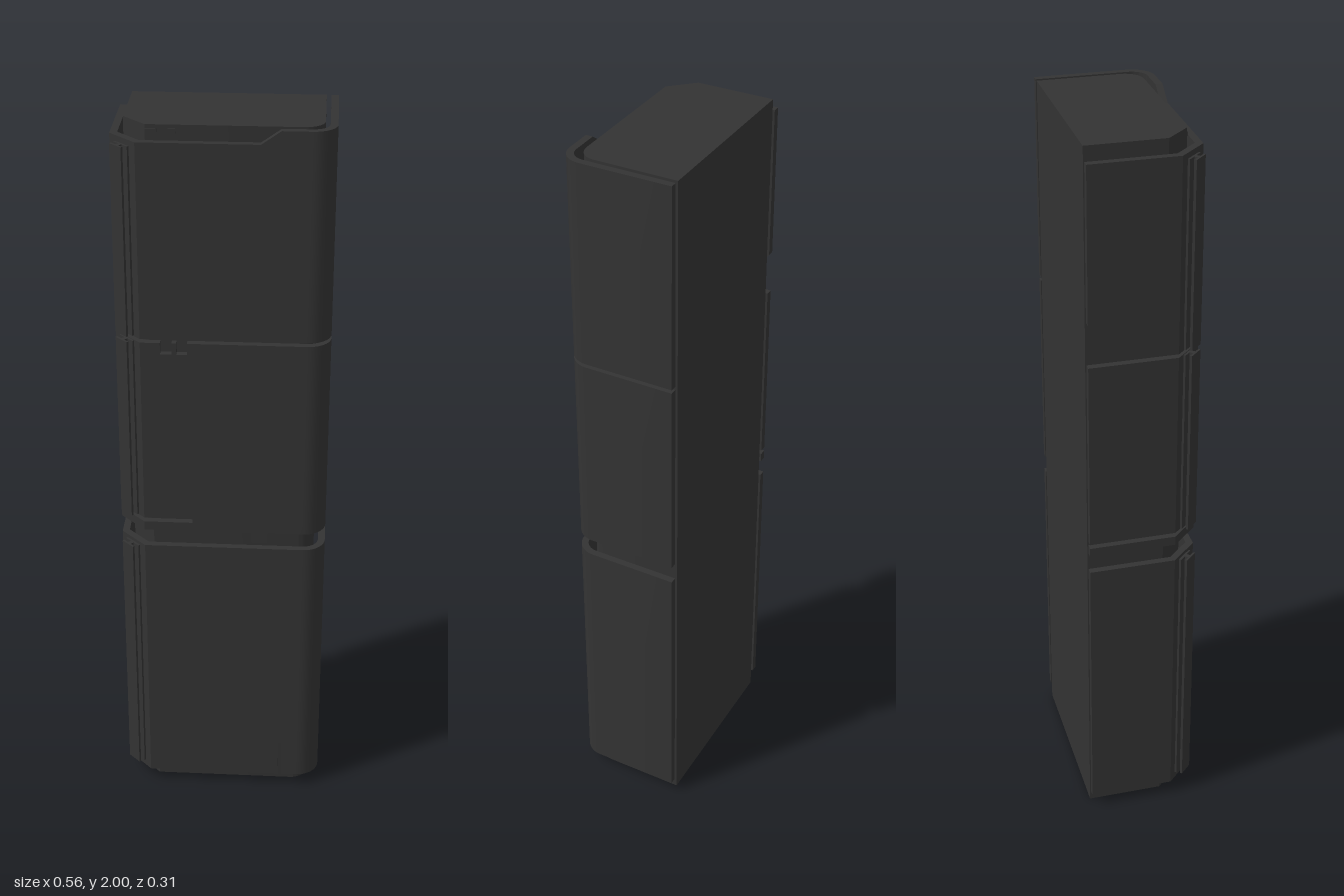
import * as THREE from 'three';
import { toCreasedNormals } from 'three/addons/utils/BufferGeometryUtils.js';

const dark = new THREE.MeshStandardMaterial({ color: 0x333333 });

function add(parent, name, geometry, x = 0, y = 0, z = 0) {
  const mesh = new THREE.Mesh(geometry, dark);
  mesh.name = name;
  mesh.position.set(x, y, z);
  parent.add(mesh);
  return mesh;
}

// Loft of rectangular sections; station = [outerX, outerZ, innerX, innerZ, bottom, top]
function loft(stations) {
  const pos = [];
  const rings = stations.map(([ox, oz, ix, iz, b, t]) =>
    [[ox, b, oz], [ox, t, oz], [ix, t, iz], [ix, b, iz]]);
  const quad = (a, b, c, d) => pos.push(...a, ...b, ...c, ...a, ...c, ...d);
  for (let i = 0; i < rings.length - 1; i++) {
    const p = rings[i], q = rings[i + 1];
    for (let j = 0; j < 4; j++) {
      const k = (j + 1) % 4;
      quad(p[j], q[j], q[k], p[k]);
    }
  }
  const s = rings[0], e = rings[rings.length - 1];
  quad(s[0], s[1], s[2], s[3]);
  quad(e[3], e[2], e[1], e[0]);
  const g = new THREE.BufferGeometry();
  g.setAttribute('position', new THREE.Float32BufferAttribute(pos, 3));
  return toCreasedNormals(g, 0.5);
}

// Plan path of the outer cladding: left side, chamfer, front, rounded corner, right side
const leftSide = (b, t, backBottom = b) => [
  [-0.282, -0.155, -0.263, -0.155, backBottom, t],
  [-0.282, -0.05, -0.263, -0.05, b, t],
  [-0.282, 0.08, -0.263, 0.072, b, t],
  [-0.212, 0.152, -0.204, 0.133, b, t],
];
const frontAt = ([x, b, t]) => [x, 0.152, x, 0.133, b, t];
function rightSide(b, t) {
  const out = [];
  for (let i = 0; i <= 10; i++) {
    const a = (i / 10) * Math.PI / 2, s = Math.sin(a), c = Math.cos(a);
    out.push([0.22 + 0.061 * s, 0.091 + 0.061 * c, 0.22 + 0.042 * s, 0.091 + 0.042 * c, b, t]);
  }
  out.push([0.281, -0.155, 0.262, -0.155, b, t]);
  return out;
}

// Vertical H-section rail on the chamfer
function rail(parent, bottom, top) {
  const g = new THREE.Group();
  g.name = 'cornerRail';
  const h = top - bottom;
  add(g, 'railBase', new THREE.BoxGeometry(0.054, h, 0.006), 0, 0, 0.003);
  add(g, 'railStem', new THREE.BoxGeometry(0.012, h, 0.014), 0, 0, 0.011);
  add(g, 'railFace', new THREE.BoxGeometry(0.045, h, 0.006), 0, 0, 0.019);
  g.position.set(-0.247, (bottom + top) / 2, 0.116);
  g.rotation.y = -Math.PI / 4;
  parent.add(g);
}

export function createModel() {
  const model = new THREE.Group();
  model.name = 'tower';

  // Core column with one chamfered and one rounded front corner
  const plan = new THREE.Shape();
  plan.moveTo(-0.25, 0.155);
  plan.lineTo(-0.25, -0.055);
  plan.lineTo(-0.19, -0.117);
  plan.lineTo(0.2, -0.117);
  plan.absarc(0.2, -0.067, 0.05, -Math.PI / 2, 0, false);
  plan.lineTo(0.25, 0.155);
  const core = new THREE.ExtrudeGeometry(plan, { depth: 2, bevelEnabled: false, curveSegments: 10 });
  core.rotateX(-Math.PI / 2);
  add(model, 'core', toCreasedNormals(core, 0.5));

  // Lower cladding with a slit rising from its bottom edge
  const lb = 0.04, lt = 0.82;
  add(model, 'lowerPanel', loft([
    ...leftSide(lb, lt),
    ...[[0.164, lb, lt], [0.164, 0.155, lt], [0.174, 0.155, lt], [0.174, lb, lt]].map(frontAt),
    ...rightSide(lb, lt),
  ]));

  // Middle cladding: two notches in the top edge, a horizontal slot at the left
  const mb = 0.87, mt = 1.432, slot = 0.908, notch = 1.4;
  add(model, 'middlePanel', loft([
    ...leftSide(slot, mt),
    ...[
      [-0.16, slot, mt], [-0.16, slot, notch], [-0.13, slot, notch], [-0.13, slot, mt],
      [-0.118, slot, mt], [-0.118, slot, notch], [-0.09, slot, notch], [-0.09, slot, mt],
      [-0.08, slot, mt], [-0.08, mb, mt],
    ].map(frontAt),
    ...rightSide(mb, mt),
  ]));
  add(model, 'middlePanelStrip', loft([...leftSide(mb, 0.896), frontAt([-0.08, mb, 0.896])]));

  // Upper cladding: top edge steps up on a slope, rear of the left side is cut diagonally
  const ub = 1.442;
  add(model, 'upperPanel', loft([
    ...leftSide(ub, 1.965, 1.55),
    ...[[0.095, ub, 1.965], [0.145, ub, 2]].map(frontAt),
    ...rightSide(ub, 2),
  ]));

  // Rails, one for each cladding section
  for (const [b, t] of [[0.06, 0.81], [0.91, 1.43], [1.445, 1.95]]) rail(model, b, t);

  // Shallow plates on the core
  add(model, 'gapPlate', new THREE.BoxGeometry(0.045, 0.05, 0.004), 0.1, 0.845, 0.117);
  for (const x of [-0.175, -0.13])
    add(model, 'topTab', new THREE.BoxGeometry(0.03, 0.012, 0.004), x, 1.984, 0.117);

  return model;
}
